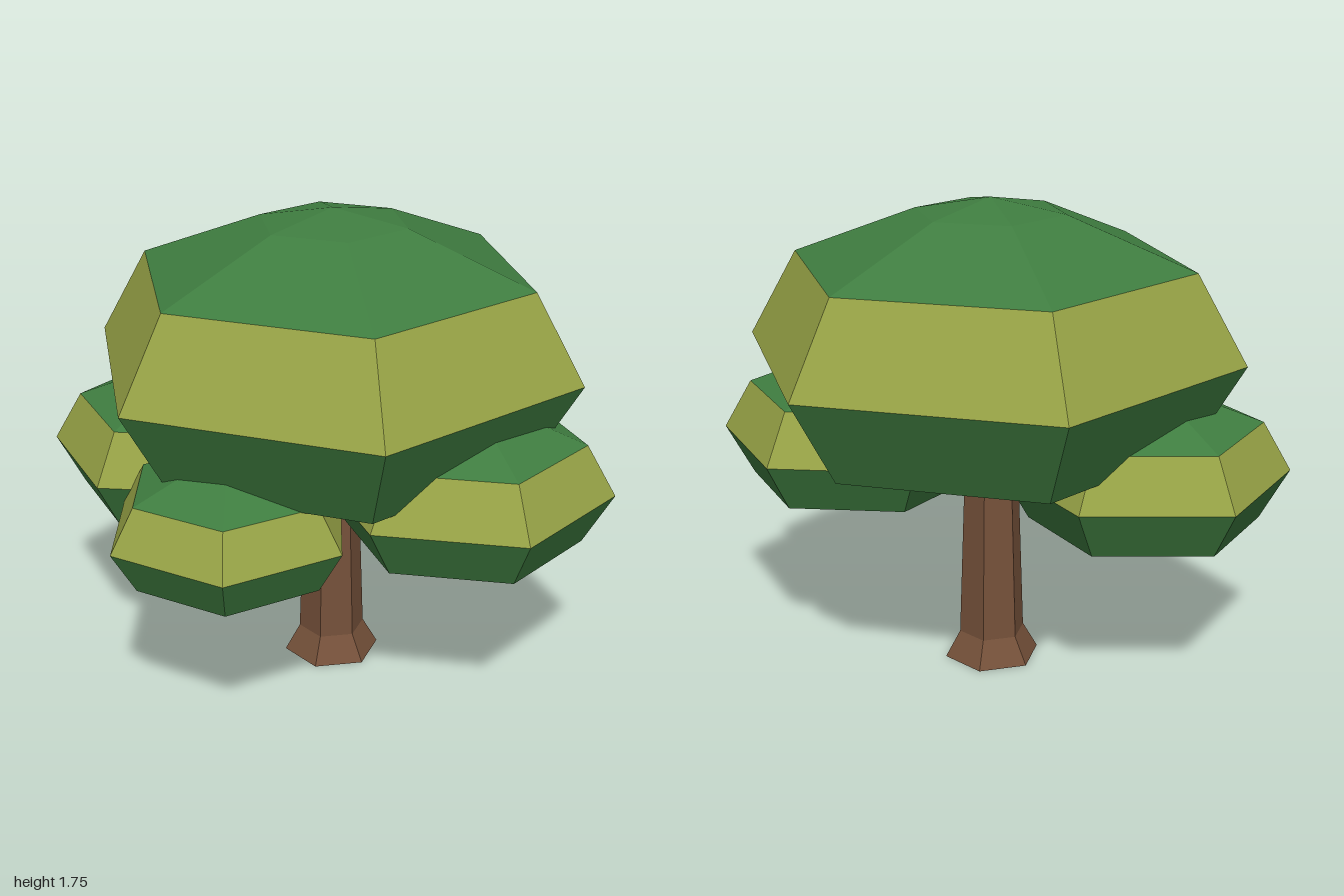
import * as THREE from 'three';

const material = (name, color) => {
  const m = new THREE.MeshStandardMaterial({ color, flatShading: true });
  m.name = name;
  return m;
};

// Six-sided solid turned from [radius, height] points, listed from bottom to top
function turned(name, profile, mat, angle) {
  const points = profile.map(([r, y]) => new THREE.Vector2(r, y));
  const geometry = new THREE.LatheGeometry(points, 6, THREE.MathUtils.degToRad(90 - angle));
  const mesh = new THREE.Mesh(geometry, mat);
  mesh.name = name;
  return mesh;
}

export function createModel() {
  const tree = new THREE.Group();
  tree.name = 'tree';

  const leafGreen = material('leaf green', 0x3f7d40);
  const leafOlive = material('leaf olive', 0x97a346);
  const bark = material('bark brown', 0x75513a);

  // Trunk with a flared foot
  const trunk = turned('trunk', [[0, 0], [0.18, 0], [0.124, 0.1], [0.095, 0.95], [0, 0.95]], bark, 0);
  trunk.position.set(-0.01, 0, -0.04);
  tree.add(trunk);

  // Foliage clump: green underside, olive band and green cap, sized by its widest radius
  function clump(name, radius, x, y, z, angle) {
    const group = new THREE.Group();
    group.name = name;
    group.add(
      turned('underside', [[0, -0.505], [0.8, -0.348], [1, 0]], leafGreen, angle),
      turned('band', [[1, 0], [0.8, 0.348]], leafOlive, angle),
      turned('cap', [[0.8, 0.348], [0.3, 0.543], [0, 0.598]], leafGreen, angle),
    );
    group.scale.setScalar(radius);
    group.position.set(x, y, z);
    tree.add(group);
  }

  clump('mainCanopy', 0.92, -0.005, 1.2, -0.04, 90);
  clump('leftClump', 0.53, 0.505, 0.815, -0.22, 20.5);
  clump('rightClump', 0.523, -0.495, 0.785, 0.255, 15.3);
  clump('frontClump', 0.45, 0.09, 0.725, 0.51, 39.8);

  return tree;
}
